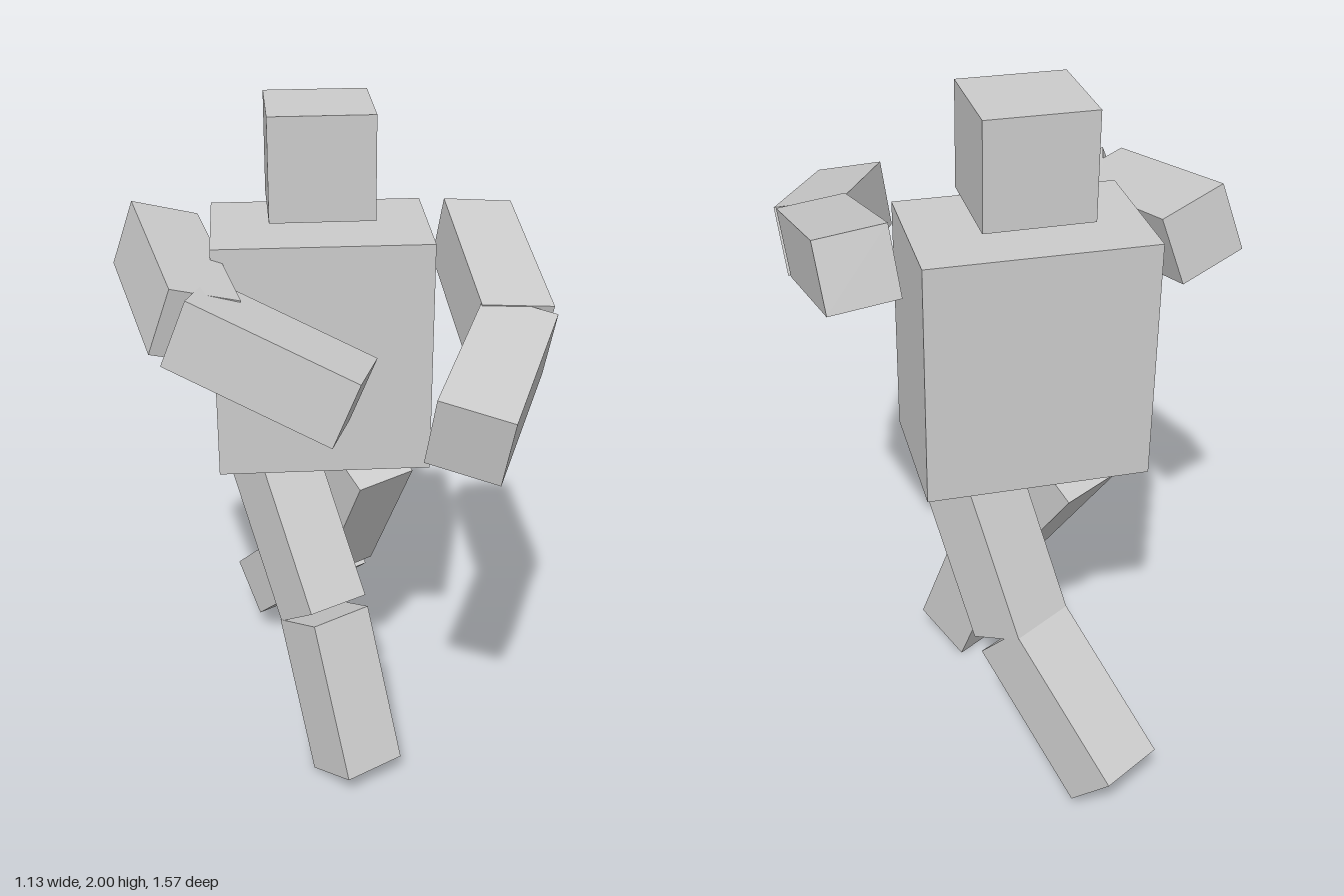
import * as THREE from 'three';

const material = new THREE.MeshStandardMaterial({ color: 0xcccccc, flatShading: true });

function box(name, w, h, d) {
  const mesh = new THREE.Mesh(new THREE.BoxGeometry(w, h, d), material);
  mesh.name = name;
  return mesh;
}

// Square bar running between two joints; side gives the direction of one pair of faces
function limb(name, from, to, side, size = 0.197) {
  const a = new THREE.Vector3(...from);
  const b = new THREE.Vector3(...to);
  const mesh = box(name, size, a.distanceTo(b), size);
  const y = a.clone().sub(b).normalize();
  const x = new THREE.Vector3(...side);
  x.addScaledVector(y, -x.dot(y)).normalize();
  const z = new THREE.Vector3().crossVectors(x, y);
  mesh.quaternion.setFromRotationMatrix(new THREE.Matrix4().makeBasis(x, y, z));
  mesh.position.copy(a).add(b).multiplyScalar(0.5);
  return mesh;
}

export function createModel() {
  const model = new THREE.Group();
  model.name = 'blockFigure';

  // Head and torso, both twisted towards the figure's right
  const upperBody = new THREE.Group();
  upperBody.name = 'upperBody';
  upperBody.position.set(0.065, 0, -0.21);
  const head = box('head', 0.292, 0.29, 0.292);
  head.position.y = 1.855;
  head.rotation.y = -0.548;
  const torso = box('torso', 0.613, 0.685, 0.407);
  torso.position.y = 1.317;
  torso.rotation.y = -0.558;
  upperBody.add(head, torso);
  model.add(upperBody);

  // Arms, raised forward with bent elbows
  model.add(
    limb('leftUpperArm', [0.476, 1.608, -0.032], [0.248, 1.48, 0.405], [0.175, -0.016, 0.08]),
    limb('leftForearm', [0.264, 1.479, 0.4], [-0.127, 1.389, 0.683], [0.116, -0.037, 0.153]),
    limb('rightUpperArm', [-0.296, 1.604, -0.51], [-0.451, 1.524, -0.042], [0.178, -0.058, 0.054]),
    limb('rightForearm', [-0.463, 1.535, -0.07], [-0.172, 1.355, 0.283], [0.148, -0.01, -0.132]),
  );

  // Legs in a running stride
  model.add(
    limb('leftThigh', [0.18, 0.92, -0.118], [0.198, 0.49, -0.347], [1, 0, 0]),
    limb('leftShin', [0.197, 0.481, -0.352], [0.203, 0.159, -0.717], [1, 0, 0]),
    limb('rightThigh', [-0.05, 0.914, -0.303], [-0.063, 0.51, -0.025], [1, 0, 0]),
    limb('rightShin', [-0.064, 0.495, -0.02], [-0.071, 0.042, 0.164], [1, 0, 0]),
  );

  return model;
}
